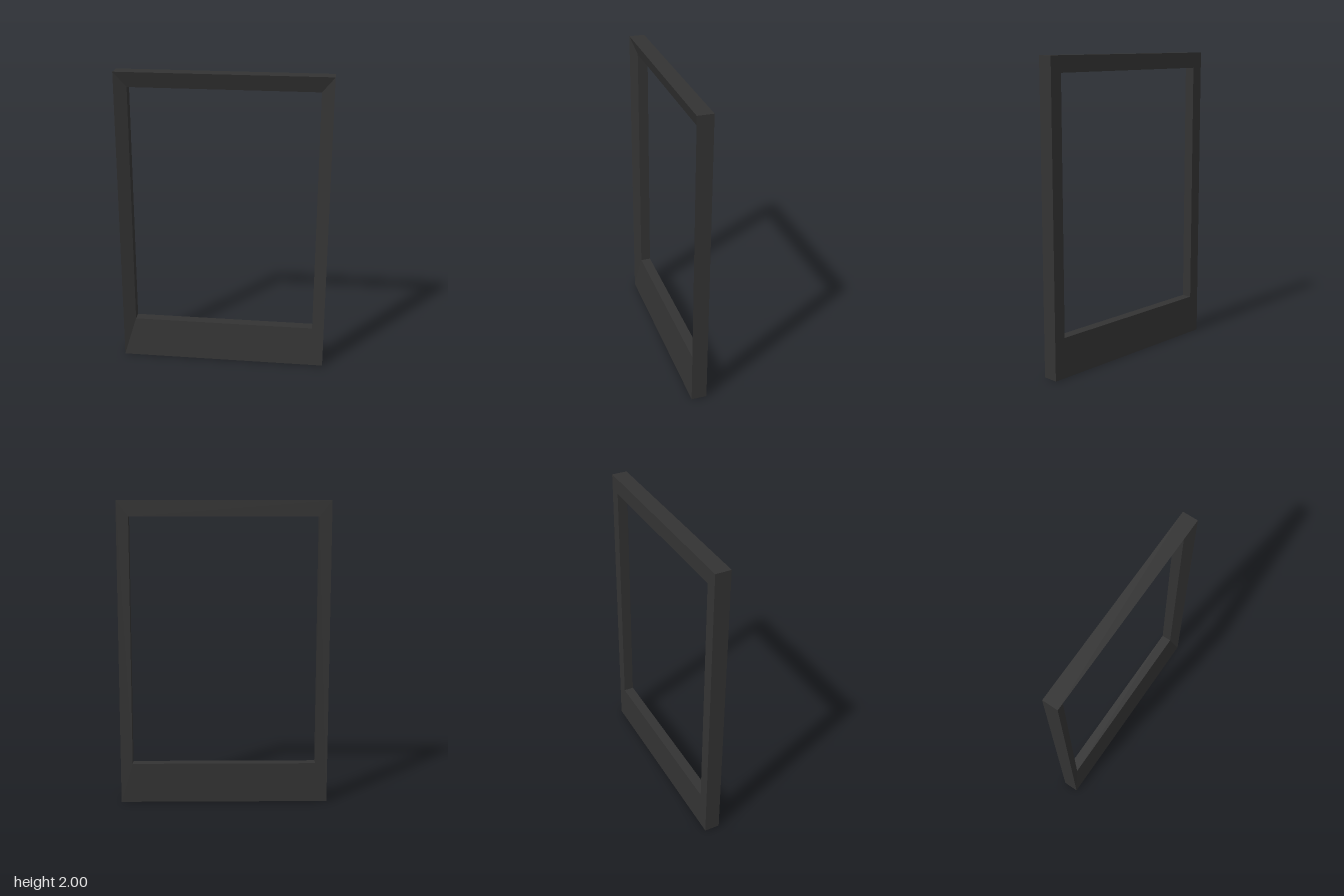
import * as THREE from 'three';

// Corners of a rectangle, counter-clockwise seen from the front
const rect = (x, y0, y1, z) => [[-x, y0, z], [x, y0, z], [x, y1, z], [-x, y1, z]];

export function createModel() {
  const group = new THREE.Group();
  group.name = 'pictureFrame';

  // Loops around the frame section: flat back, square outside,
  // front face sloping in to the opening
  const loops = [
    rect(0.69, 0, 2, -0.051),
    rect(0.69, 0, 2, 0.051),
    rect(0.611, 0.265, 1.898, 0.017),
    rect(0.611, 0.265, 1.898, -0.051),
  ];

  // Join each loop to the next, closing the section at the back
  const positions = [];
  loops.forEach((loop, i) => {
    const next = loops[(i + 1) % loops.length];
    for (let j = 0; j < 4; j++) {
      const k = (j + 1) % 4;
      const [a, b, c, d] = [loop[j], loop[k], next[k], next[j]];
      positions.push(...a, ...b, ...c, ...a, ...c, ...d);
    }
  });

  const geometry = new THREE.BufferGeometry();
  geometry.setAttribute('position', new THREE.Float32BufferAttribute(positions, 3));
  geometry.computeVertexNormals();

  const frame = new THREE.Mesh(
    geometry,
    new THREE.MeshStandardMaterial({ color: 0x333333 })
  );
  frame.name = 'frame';
  group.add(frame);
  return group;
}
